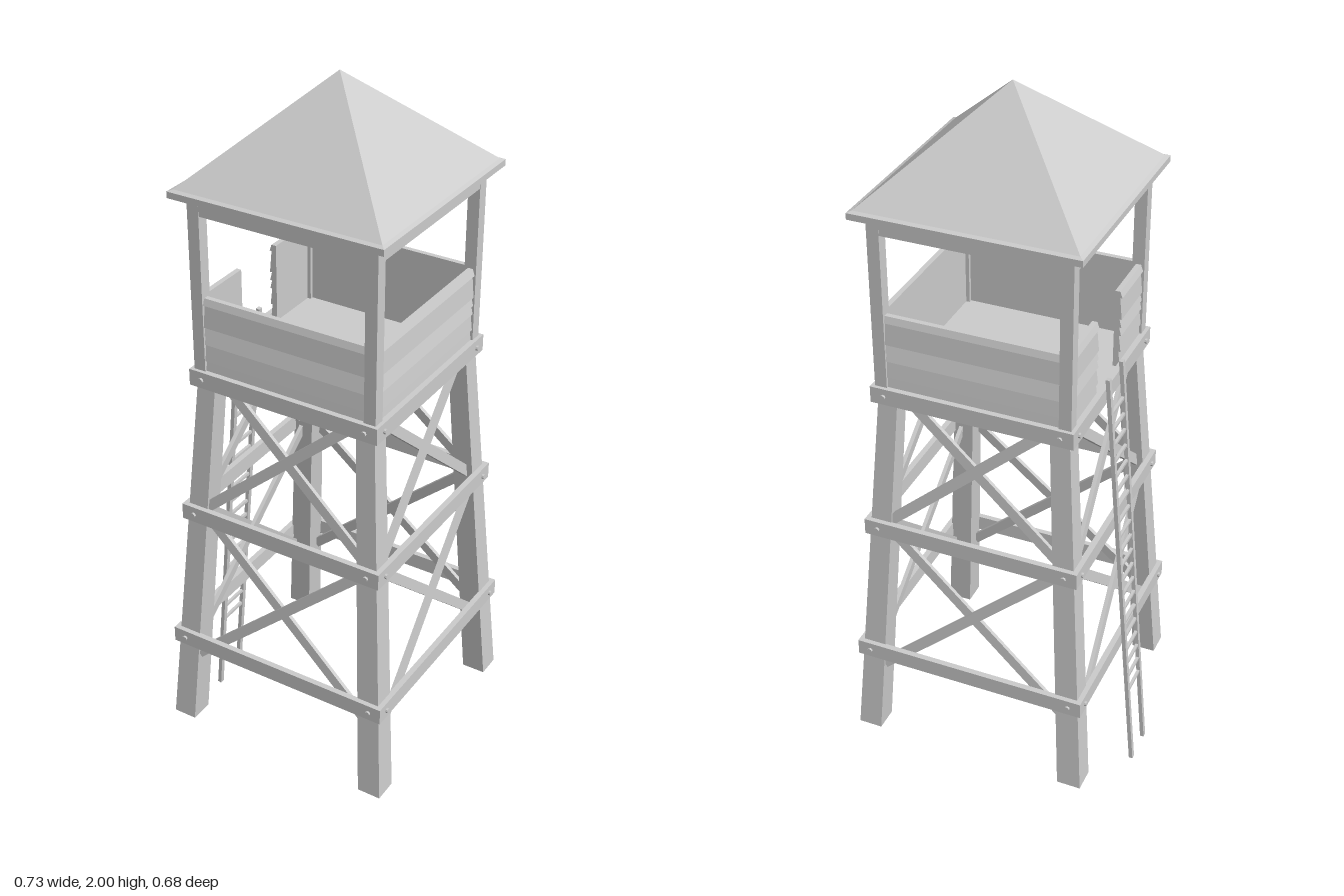
import * as THREE from 'three';

const CX = 0.028;                       // tower axis, offset because the ladder leans out on -x
const LEG_BOTTOM = 0.127, LEG_TOP = 1.22;
const legOuter = (y) => 0.338 - 0.0718 * (y - LEG_BOTTOM);

const material = new THREE.MeshStandardMaterial({ color: 0xcccccc, flatShading: true, side: THREE.DoubleSide });

function add(parent, name, geometry, x = 0, y = 0, z = 0) {
  const mesh = new THREE.Mesh(geometry, material);
  mesh.name = name;
  mesh.position.set(x, y, z);
  parent.add(mesh);
  return mesh;
}

function box(parent, name, w, h, d, x, y, z) {
  return add(parent, name, new THREE.BoxGeometry(w, h, d), x, y, z);
}

// Straight plank from a to b; the thickness runs along the given normal
function plank(parent, name, a, b, width, thickness, normal) {
  const dir = b.clone().sub(a);
  const length = dir.length();
  dir.normalize();
  const side = normal.clone().cross(dir).normalize();
  const out = dir.clone().cross(side);
  const mesh = add(parent, name, new THREE.BoxGeometry(length, width, thickness));
  mesh.quaternion.setFromRotationMatrix(new THREE.Matrix4().makeBasis(dir, side, out));
  mesh.position.copy(a).add(b).multiplyScalar(0.5);
}

// Tapered leg leaning in towards the axis, at the +x +z corner
function legGeometry() {
  const g = new THREE.BoxGeometry(1, 1, 1);
  const p = g.attributes.position;
  for (let i = 0; i < p.count; i++) {
    const top = p.getY(i) > 0;
    const y = top ? LEG_TOP : LEG_BOTTOM;
    const outer = legOuter(y), inner = outer - (top ? 0.053 : 0.067);
    p.setXYZ(i, p.getX(i) > 0 ? outer : inner, y, p.getZ(i) > 0 ? outer : inner);
  }
  g.computeVertexNormals();
  return g;
}

// Overlapping boards: saw-tooth cross-section extruded along x from x0 to x1
function sidingGeometry(x0, x1) {
  const edges = [1.225, 1.275, 1.322, 1.346, 1.37, 1.432, 1.45];
  const s = new THREE.Shape();
  s.moveTo(0.242, edges[0]);
  for (let i = 0; i < edges.length - 1; i++) {
    s.lineTo(0.262, edges[i]);
    s.lineTo(0.256, edges[i + 1]);
  }
  s.lineTo(0.242, edges[edges.length - 1]);
  s.closePath();
  const g = new THREE.ExtrudeGeometry(s, { depth: x1 - x0, bevelEnabled: false });
  g.rotateY(-Math.PI / 2);
  g.translate(x1, 0, 0);
  return g;
}

// One side of the tower, modelled facing +z
function buildSide(hasDoorway, alternate) {
  const side = new THREE.Group();

  add(side, 'leg', legGeometry());

  // Horizontal girts bolted outside the legs: [centre height, outer half width]
  for (const [y, half] of [[0.405, 0.33], [0.815, 0.301], [1.223, 0.275]]) {
    const length = 2 * (alternate ? half : half - 0.016);
    box(side, 'girt', length, 0.046, 0.016, 0, y, half - 0.008);
    for (const sx of [-1, 1]) {
      const bolt = add(side, 'bolt', new THREE.CylinderGeometry(0.007, 0.007, 0.008, 8), sx * (half - 0.036), y, half + 0.002);
      bolt.rotation.x = Math.PI / 2;
    }
  }

  // Cross braces: [bottom half width, bottom y, top half width, top y]
  const normal = new THREE.Vector3(0, 0.0718, 1).normalize();
  for (const [xb, yb, xt, yt] of [[0.26, 0.355, 0.24, 0.8], [0.255, 0.82, 0.19, 1.21]]) {
    for (const sx of [-1, 1]) {
      const inset = sx > 0 ? 0.012 : 0.022;
      plank(side, 'crossBrace',
        new THREE.Vector3(-sx * xb, yb, legOuter(yb) - inset),
        new THREE.Vector3(sx * xt, yt, legOuter(yt) - inset),
        0.028, 0.011, normal);
    }
  }

  // Cabin post, parapet boards and roof beam
  box(side, 'cabinPost', 0.033, 0.49, 0.033, 0.2485, 1.455, 0.2485);
  const spans = hasDoorway ? [[-0.234, -0.08], [0.08, 0.234]] : [[-0.234, 0.234]];
  for (const [x0, x1] of spans) add(side, 'parapet', sidingGeometry(x0, x1));
  box(side, 'roofBeam', 0.47, 0.043, 0.03, 0, 1.694, 0.249);
  box(side, 'roofTrim', 0.54, 0.012, 0.02, 0, 1.712, 0.26);
  return side;
}

function buildLadder() {
  const ladder = new THREE.Group();
  ladder.name = 'ladder';
  const bottom = new THREE.Vector3(-0.36, 0, 0), top = new THREE.Vector3(-0.25, 1.272, 0);
  for (const z of [-0.048, 0.048]) {
    const offset = new THREE.Vector3(0, 0, z);
    plank(ladder, 'ladderRail', bottom.clone().add(offset), top.clone().add(offset),
      0.011, 0.014, new THREE.Vector3(0, 0, 1));
  }
  for (let i = 0; i < 20; i++) {
    const y = 0.25 + i * 0.0482;
    const x = THREE.MathUtils.lerp(bottom.x, top.x, y / top.y);
    box(ladder, 'rung', 0.008, 0.008, 0.09, x, y, 0);
  }
  return ladder;
}

export function createModel() {
  const model = new THREE.Group();
  model.name = 'watchtower';
  const tower = new THREE.Group();
  tower.name = 'tower';
  tower.position.x = CX;
  model.add(tower);

  const names = ['frontSide', 'leftSide', 'backSide', 'rightSide'];
  names.forEach((name, i) => {
    const side = buildSide(name === 'rightSide', i % 2 === 0);
    side.name = name;
    side.rotation.y = i * Math.PI / 2;
    tower.add(side);
  });

  box(tower, 'floor', 0.515, 0.025, 0.515, 0, 1.2175, 0);

  // Hollow pyramid roof with a thin eave
  const r = Math.SQRT2;
  const profile = [[0, 1.965], [0.265, 1.718], [0.298, 1.718], [0.298, 1.735], [0.287, 1.739], [0, 2]]
    .map(([x, y]) => new THREE.Vector2(x * r, y));
  const roof = new THREE.LatheGeometry(profile, 4, Math.PI / 4).toNonIndexed();
  roof.computeVertexNormals();
  add(tower, 'roof', roof);

  model.add(buildLadder());
  return model;
}
